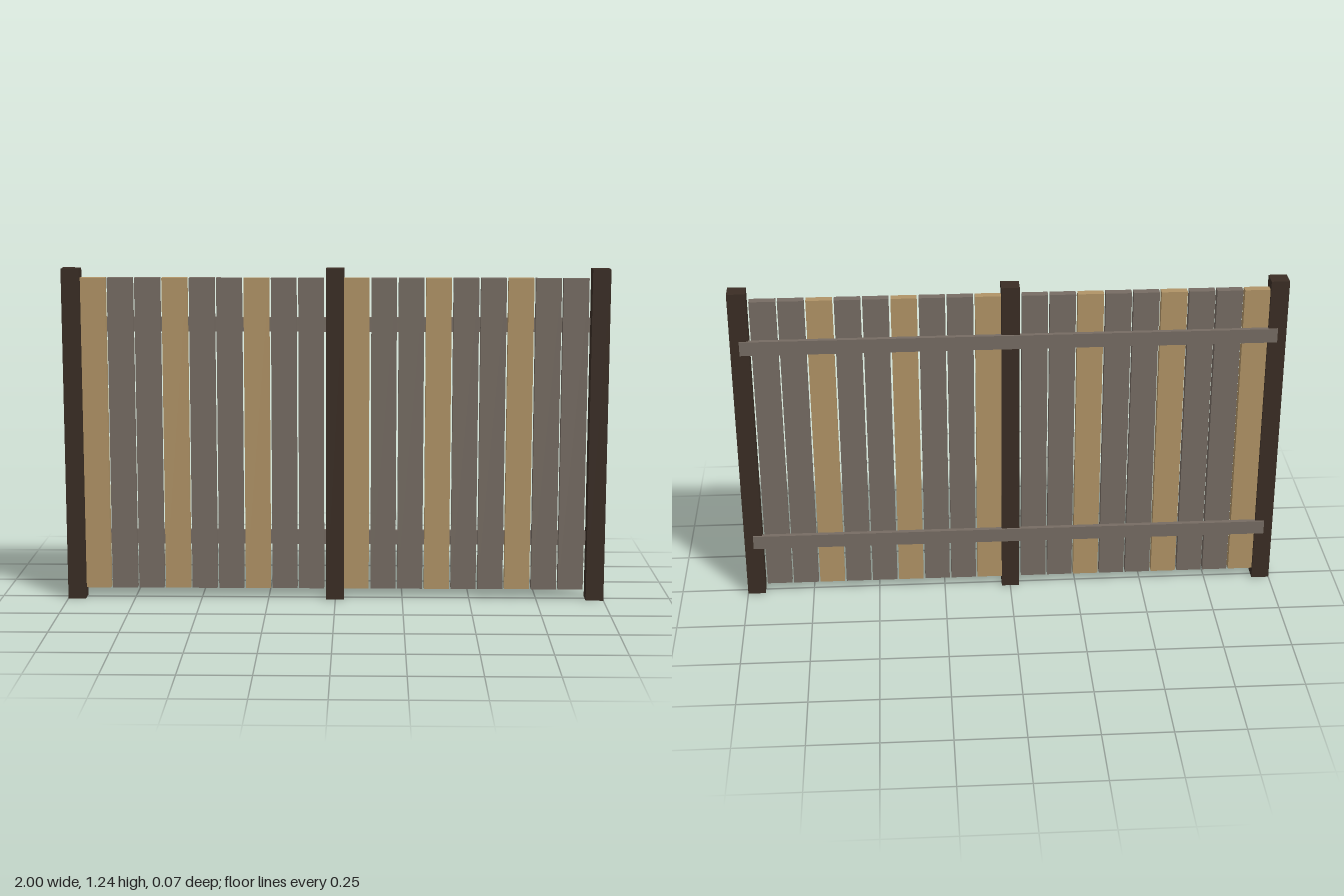
import * as THREE from 'three';

const paint = (name, color) => {
  const m = new THREE.MeshStandardMaterial({ color });
  m.name = name;
  return m;
};

export function createModel() {
  const fence = new THREE.Group();
  fence.name = 'fence';
  const postWood = paint('dark post wood', 0x3a2d24);
  const greyWood = paint('weathered grey wood', 0x766c63);
  const tanWood = paint('tan wood', 0xb09366);

  // Box given by its lower and upper corner
  const addBox = (name, material, [x0, y0, z0], [x1, y1, z1]) => {
    const mesh = new THREE.Mesh(new THREE.BoxGeometry(x1 - x0, y1 - y0, z1 - z0), material);
    mesh.position.set((x0 + x1) / 2, (y0 + y1) / 2, (z0 + z1) / 2);
    mesh.name = name;
    fence.add(mesh);
  };

  // Three square posts
  for (const [side, x] of [['right', -0.967], ['middle', -0.001], ['left', 0.967]]) {
    addBox(`${side}Post`, postWood, [x - 0.033, 0, -0.029], [x + 0.033, 1.235, 0.036]);
  }

  // Two bays of nine planks, every third one tan
  for (const [side, start] of [['right', -0.889], ['left', 0.078]]) {
    for (let i = 0; i < 9; i++) {
      const x = start + i * 0.1;
      addBox(`${side}Plank${i + 1}`, i % 3 === 0 ? tanWood : greyWood,
        [x - 0.0467, 0.037, -0.019], [x + 0.0467, 1.2, 0.013]);
    }
  }

  // Two long rails across the back
  for (const [name, y] of [['lowerRail', 0.2], ['upperRail', 1.0]]) {
    addBox(name, greyWood, [-0.967, y, -0.036], [0.967, y + 0.053, -0.019]);
  }

  return fence;
}
